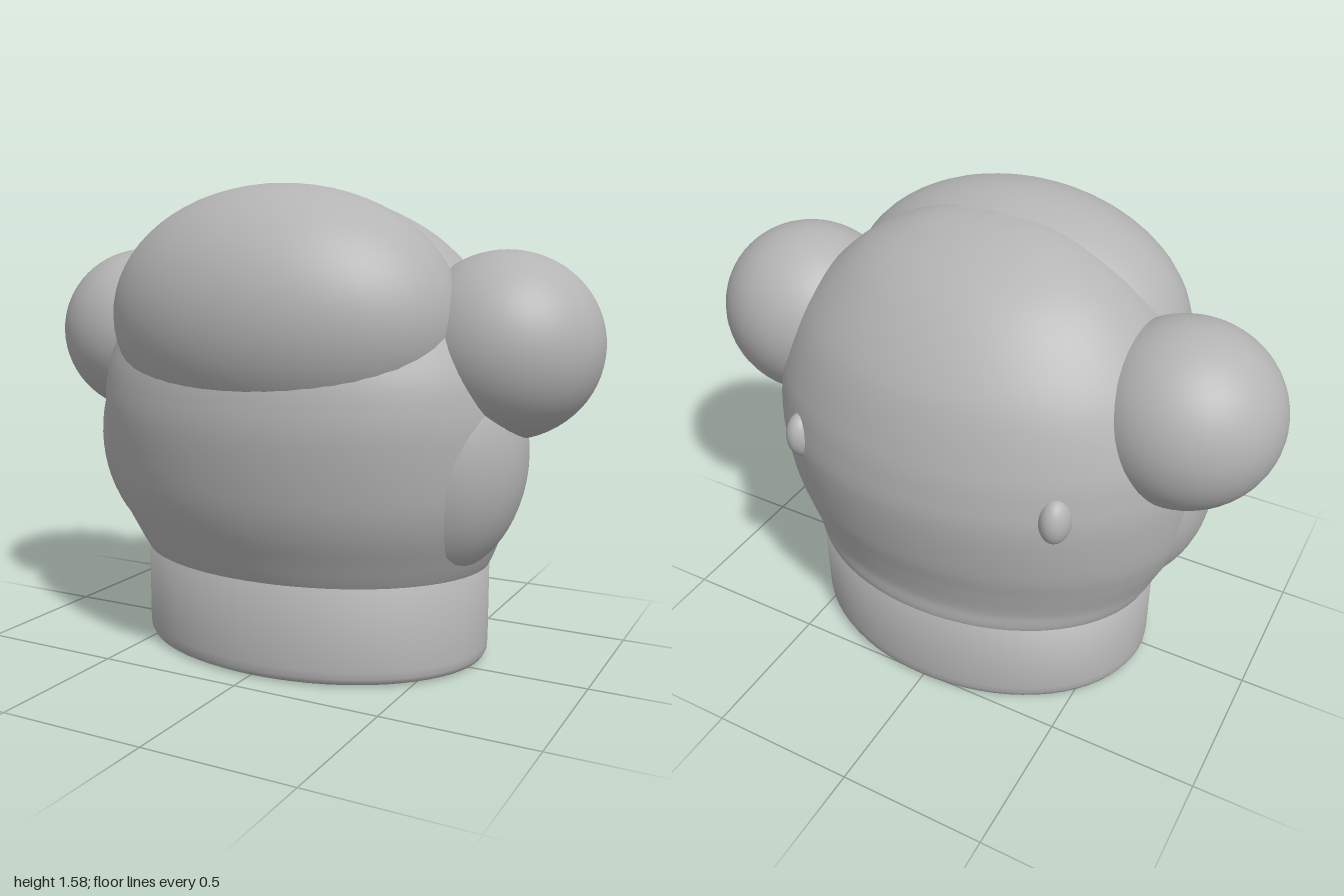
import * as THREE from 'three';

const SEGMENTS = 72;

// Loft of elliptical rings; each row is [y, half width, front z, back z].
// The ends close to a point at the ring centre.
function loft(rows, steps) {
  const widthPath = new THREE.CatmullRomCurve3(rows.map(([y, w]) => new THREE.Vector3(w, y, 0)), false, 'centripetal');
  const depthPath = new THREE.CatmullRomCurve3(rows.map(([y, , f, b]) => new THREE.Vector3(f, y, b)), false, 'centripetal');
  const positions = [];
  const indices = [];
  for (let i = 0; i <= steps; i++) {
    const side = widthPath.getPoint(i / steps);
    const depth = depthPath.getPoint(i / steps);
    const mid = (depth.x + depth.z) / 2;
    const half = (depth.x - depth.z) / 2;
    for (let j = 0; j < SEGMENTS; j++) {
      const a = (j / SEGMENTS) * Math.PI * 2;
      positions.push(side.x * Math.sin(a), side.y, mid + half * Math.cos(a));
      if (i < steps) {
        const k = (j + 1) % SEGMENTS;
        const p = i * SEGMENTS + j, q = i * SEGMENTS + k;
        indices.push(p, q, q + SEGMENTS, p, q + SEGMENTS, p + SEGMENTS);
      }
    }
  }
  const geometry = new THREE.BufferGeometry();
  geometry.setAttribute('position', new THREE.Float32BufferAttribute(positions, 3));
  geometry.setIndex(indices);
  geometry.computeVertexNormals();
  return geometry;
}

export function createModel() {
  const group = new THREE.Group();
  const grey = new THREE.MeshStandardMaterial({ color: 0xb4b4b4 });
  grey.name = 'plain grey';

  function add(name, geometry) {
    const mesh = new THREE.Mesh(geometry, grey);
    mesh.name = name;
    group.add(mesh);
    return mesh;
  }
  function ellipsoid(name, center, radii) {
    const geometry = new THREE.SphereGeometry(1, 48, 32);
    geometry.scale(...radii);
    add(name, geometry).position.set(...center);
  }

  // Straight neck band with a softly rounded lower rim
  const band = new THREE.LatheGeometry([
    [0, 0], [0.95, 0], [0.982, 0.008], [0.997, 0.025], [1, 0.05], [1, 0.5], [0, 0.5],
  ].map(([x, y]) => new THREE.Vector2(x, y)), SEGMENTS);
  band.scale(0.63, 1, 0.47);
  add('neckBand', band).position.z = -0.052;

  // Main head volume, fuller at the back
  add('head', loft([
    [0.24, 0.57, 0.37, -0.48],
    [0.33, 0.632, 0.422, -0.522],
    [0.4, 0.665, 0.455, -0.524],
    [0.5, 0.71, 0.5, -0.545],
    [0.6, 0.74, 0.53, -0.57],
    [0.8, 0.76, 0.56, -0.595],
    [0.9, 0.755, 0.558, -0.588],
    [1.0, 0.735, 0.54, -0.57],
    [1.2, 0.64, 0.46, -0.5],
    [1.4, 0.46, 0.31, -0.34],
    [1.5, 0.29, 0.19, -0.18],
    [1.54, 0.16, 0.11, -0.07],
    [1.553, 0, 0.02, 0.02],
  ], 90));

  // Bulging brow over the front
  ellipsoid('brow', [0, 1.15, 0.18], [0.605, 0.43, 0.42]);

  // Mirrored ears, cheeks and small back bumps
  for (const [label, s] of [['left', 1], ['right', -1]]) {
    ellipsoid(label + 'Ear', [s * 0.69, 1.07, -0.035], [0.31, 0.3, 0.3]);
    ellipsoid(label + 'Cheek', [s * 0.45, 0.72, 0.03], [0.335, 0.42, 0.31]);
    ellipsoid(label + 'BackBump', [s * 0.46, 0.86, -0.455], [0.05, 0.08, 0.06]);
  }
  return group;
}
